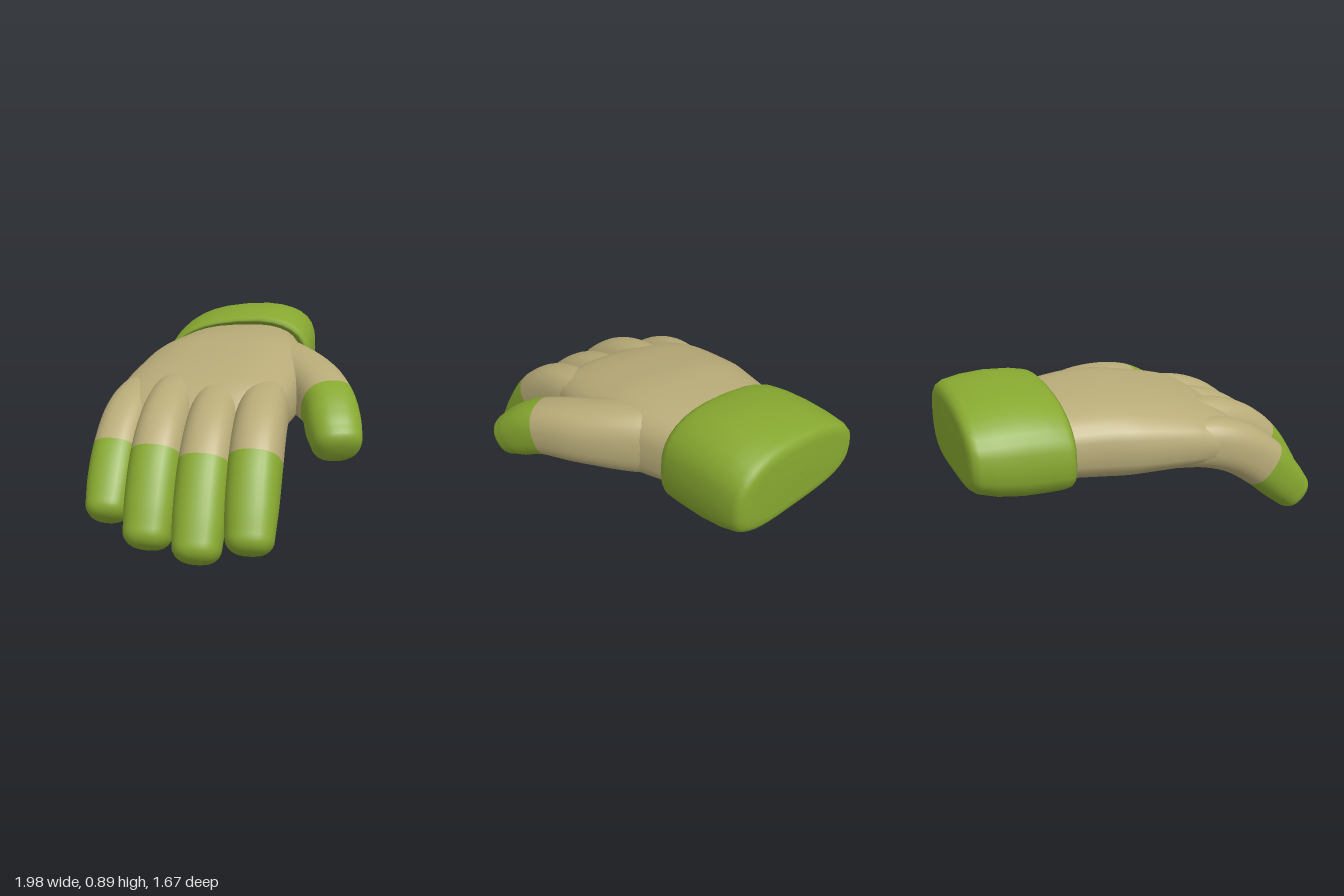
import * as THREE from 'three';

const fabric = new THREE.MeshStandardMaterial({ color: 0xb8ab78 });
fabric.name = 'tan fabric';
const trim = new THREE.MeshStandardMaterial({ color: 0x87a830 });
trim.name = 'green trim';

// Hand axes: DISTAL runs from wrist to fingertips, THUMBWARD across the palm
const DISTAL = new THREE.Vector3(-0.883, 0, 0.4695);
const THUMBWARD = new THREE.Vector3(0.4695, 0, 0.883);
const UP = new THREE.Vector3(0, 1, 0);
const SIDES = 32;

// Turns a row [along, across, height, halfWidth, halfThickness] into a section
function handSection([s, t, y, w, h]) {
  const c = new THREE.Vector3().addScaledVector(DISTAL, s).addScaledVector(THUMBWARD, t);
  c.y = y;
  return { c, w, h, dir: DISTAL };
}

// Smooths sections with a spline, aligns them to the path and adds a blunt round tip
function smoothSections(sections, domeLength, steps = 5) {
  const path = new THREE.CatmullRomCurve3(sections.map((p) => p.c), false, 'catmullrom');
  const size = new THREE.CatmullRomCurve3(
    sections.map((p) => new THREE.Vector3(p.w, p.h, 0)), false, 'catmullrom');
  const out = [];
  const count = (sections.length - 1) * steps;
  for (let i = 0; i <= count; i++) {
    const r = size.getPoint(i / count);
    out.push({ c: path.getPoint(i / count), w: r.x, h: r.y, dir: path.getTangent(i / count) });
  }
  const last = out[count];
  for (let k = 1; k <= 7; k++) {
    const a = (k / 7) * Math.PI / 2;
    const f = Math.max(0.004, Math.pow(Math.max(0, Math.cos(a)), 0.7));
    out.push({
      c: last.c.clone().addScaledVector(last.dir, domeLength * Math.sin(a)),
      w: last.w * f, h: last.h * f, dir: last.dir,
    });
  }
  return out;
}

// Skins superellipse cross-sections. skew thins the little-finger side, tilt lowers it,
// arch droops both edges, and sections after `split` use the trim colour
function skin(name, sections,
  { power = 2.4, skew = 0, tilt = 0, arch = 0, split = Infinity, first = fabric } = {}) {
  const pos = [];
  const index = [];
  const bend = (v) => Math.sign(v) * Math.pow(Math.abs(v), 2 / power);
  for (const { c, w, h, dir } of sections) {
    const side = new THREE.Vector3().crossVectors(dir, UP).normalize();
    const normal = new THREE.Vector3().crossVectors(side, dir).normalize();
    for (let j = 0; j < SIDES; j++) {
      const a = (j / SIDES) * Math.PI * 2;
      const cx = bend(Math.cos(a));
      const rise = bend(Math.sin(a)) * (1 - skew * cx) - tilt * cx - arch * cx * cx;
      const p = c.clone().addScaledVector(side, w * cx).addScaledVector(normal, h * rise);
      pos.push(p.x, p.y, p.z);
    }
  }
  const bands = sections.length - 1;
  for (let i = 0; i < bands; i++) {
    for (let j = 0; j < SIDES; j++) {
      const k = (j + 1) % SIDES;
      const a = i * SIDES + j, b = a + SIDES;
      const d = i * SIDES + k, e = d + SIDES;
      index.push(a, b, d, b, e, d);
    }
  }
  const geo = new THREE.BufferGeometry();
  geo.setAttribute('position', new THREE.Float32BufferAttribute(pos, 3));
  geo.setIndex(index);
  geo.computeVertexNormals();
  let material = first;
  if (split < bands) {
    const cut = split * SIDES * 6;
    geo.addGroup(0, cut, 0);
    geo.addGroup(cut, index.length - cut, 1);
    material = [fabric, trim];
  }
  const mesh = new THREE.Mesh(geo, material);
  mesh.name = name;
  return mesh;
}

export function createModel() {
  const glove = new THREE.Group();
  glove.name = 'glove';

  // Palm and back of the hand
  const palm = [
    [-0.62, -0.05, 0.605, 0.35, 0.18], [-0.45, -0.055, 0.603, 0.382, 0.2],
    [-0.2, -0.05, 0.6, 0.446, 0.213], [0, -0.062, 0.588, 0.46, 0.2],
    [0.2, -0.082, 0.572, 0.456, 0.177], [0.33, -0.1, 0.55, 0.442, 0.147],
    [0.43, -0.105, 0.507, 0.41, 0.11],
  ].map(handSection);
  glove.add(skin('palm', smoothSections(palm, 0.05),
    { power: 2.9, skew: 0.1, tilt: 0.05, arch: 0.07 }));

  // Three long fingers share one curl, shifted and stretched
  const curl = [
    [0.08, 0.56, 0.105, 0.13], [0.3, 0.553, 0.121, 0.156], [0.5, 0.51, 0.126, 0.156],
    [0.66, 0.404, 0.127, 0.152], [0.79, 0.257, 0.123, 0.135], [0.88, 0.142, 0.112, 0.114],
  ];
  const longFingers = [
    ['indexFinger', 0.225, 0.26, 0.005, 0],
    ['middleFinger', 0, 0.03, 0.045, -0.045],
    ['ringFinger', -0.225, -0.205, 0.01, -0.015],
  ];
  for (const [name, rootT, tipT, reach, drop] of longFingers) {
    const rows = curl.map(([s, y, w, h], i) => {
      const f = i / (curl.length - 1);
      return handSection([s + reach * f, rootT + (tipT - rootT) * f, y + drop * f, w, h]);
    });
    glove.add(skin(name, smoothSections(rows, 0.075), { split: 15 }));
  }

  // Little finger
  const little = [
    [0.05, -0.4, 0.54, 0.1, 0.11], [0.25, -0.42, 0.538, 0.115, 0.13],
    [0.42, -0.437, 0.487, 0.118, 0.135], [0.58, -0.44, 0.38, 0.117, 0.133],
    [0.7, -0.435, 0.267, 0.113, 0.122], [0.78, -0.43, 0.187, 0.102, 0.106],
  ].map(handSection);
  glove.add(skin('littleFinger', smoothSections(little, 0.07), { split: 15 }));

  // Thumb: [x, y, z, halfWidth, halfThickness]
  const thumb = [
    [0.46, 0.6, -0.26, 0.1, 0.13], [0.33, 0.6, 0.08, 0.15, 0.182],
    [0.2, 0.595, 0.37, 0.152, 0.162], [0.06, 0.565, 0.57, 0.136, 0.142],
    [-0.035, 0.5, 0.667, 0.135, 0.132], [-0.092, 0.452, 0.724, 0.122, 0.112],
  ].map(([x, y, z, w, h]) => ({ c: new THREE.Vector3(x, y, z), w, h }));
  glove.add(skin('thumb', smoothSections(thumb, 0.07), { split: 15 }));

  // Cuff: closed flat end, bulging wall, rounded rim turning inward
  const cuff = [
    [-0.957, 0.64, 0.002, 0.002], [-0.955, 0.64, 0.32, 0.145], [-0.95, 0.639, 0.37, 0.175],
    [-0.937, 0.637, 0.398, 0.198], [-0.91, 0.634, 0.412, 0.217], [-0.82, 0.628, 0.423, 0.241],
    [-0.7, 0.622, 0.427, 0.256], [-0.58, 0.616, 0.428, 0.255], [-0.5, 0.608, 0.426, 0.247],
    [-0.475, 0.605, 0.42, 0.24], [-0.46, 0.604, 0.41, 0.228], [-0.468, 0.604, 0.397, 0.216],
    [-0.5, 0.604, 0.388, 0.207], [-0.58, 0.604, 0.34, 0.16],
  ].map(([s, y, w, h]) => handSection([s, -0.05, y, w, h]));
  glove.add(skin('cuff', cuff, { power: 2.75, skew: 0.12, tilt: 0.07, arch: 0.13, first: trim }));

  return glove;
}
